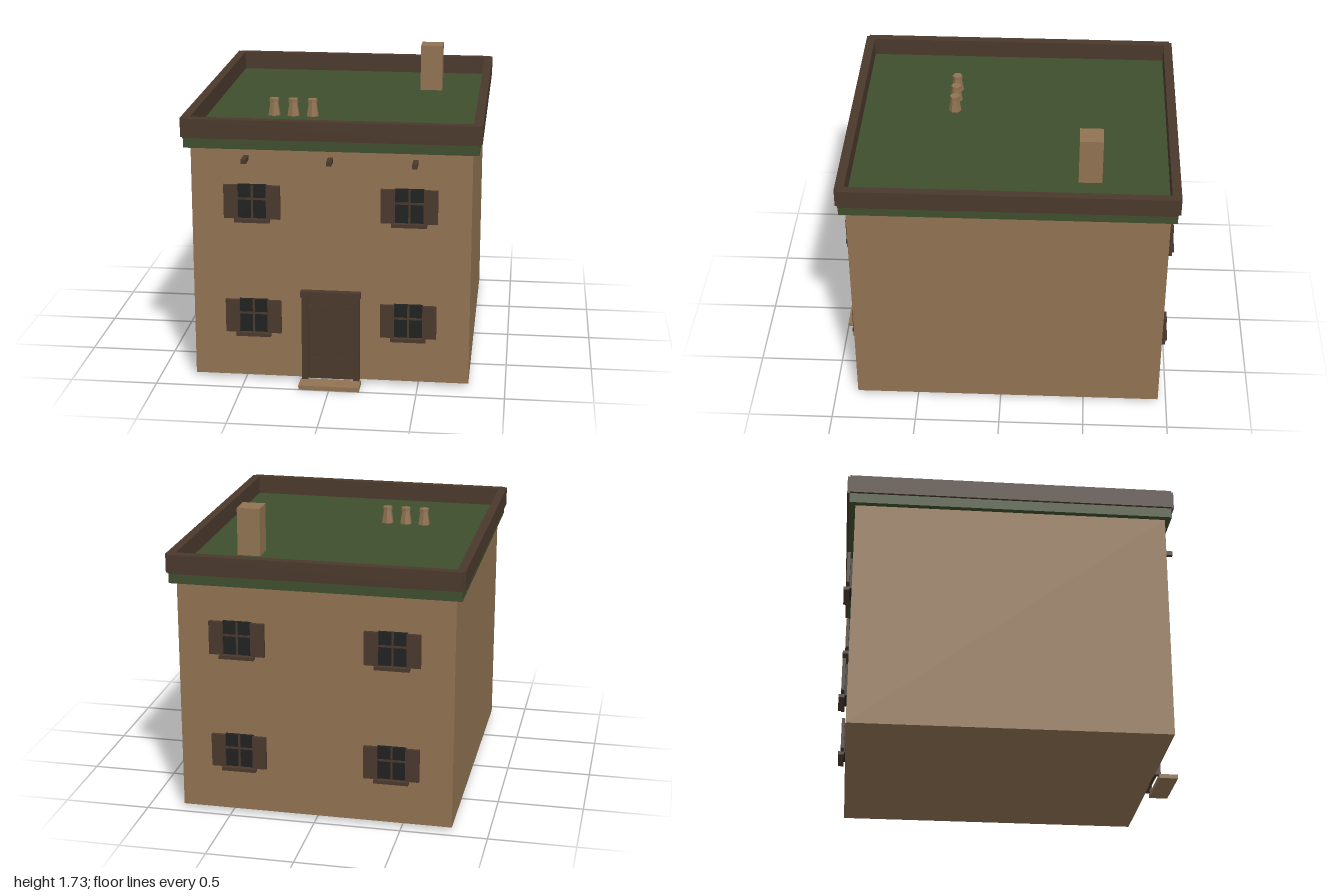
import * as THREE from 'three';

const mat = (name, color) => {
  const m = new THREE.MeshStandardMaterial({ color });
  m.name = name;
  return m;
};

export function createModel() {
  const model = new THREE.Group();
  model.name = 'house';
  const plaster = mat('plaster', 0x917352);
  const wood = mat('darkWood', 0x4a392c);
  const green = mat('roofGreen', 0x3f4e2d);
  const glass = mat('glass', 0x202121);

  // Box given by its extents on each axis
  const box = (parent, name, m, [x0, x1], [y0, y1], [z0, z1]) => {
    const mesh = new THREE.Mesh(new THREE.BoxGeometry(x1 - x0, y1 - y0, z1 - z0), m);
    mesh.position.set((x0 + x1) / 2, (y0 + y1) / 2, (z0 + z1) / 2);
    mesh.name = name;
    parent.add(mesh);
    return mesh;
  };

  const FRONT = 0.865, BACK = -0.95, MID = (FRONT + BACK) / 2;

  // Walls and flat roof
  box(model, 'walls', plaster, [-0.79, 0.79], [0.025, 1.385], [BACK, FRONT]);
  box(model, 'roofSlab', green, [-0.825, 0.825], [1.385, 1.445], [-0.985, 0.9]);

  // Parapet ring with notched outer corners
  const a = 0.84, b = 0.825, c = 0.9575, d = 0.9425;
  const ring = new THREE.Shape([
    [b, -c], [b, -d], [a, -d], [a, d], [b, d], [b, c],
    [-b, c], [-b, d], [-a, d], [-a, -d], [-b, -d], [-b, -c],
  ].map(([x, y]) => new THREE.Vector2(x, y)));
  const hx = 0.79, hz = 0.905;
  ring.holes.push(new THREE.Path([
    new THREE.Vector2(-hx, -hz), new THREE.Vector2(-hx, hz),
    new THREE.Vector2(hx, hz), new THREE.Vector2(hx, -hz),
  ]));
  const parapetGeo = new THREE.ExtrudeGeometry(ring, { depth: 0.11, bevelEnabled: false });
  parapetGeo.rotateX(-Math.PI / 2);
  const parapet = new THREE.Mesh(parapetGeo, wood);
  parapet.position.set(0, 1.445, MID);
  parapet.name = 'parapet';
  model.add(parapet);

  // Chimney and three six-sided chimney pots
  box(model, 'chimney', plaster, [0.408, 0.542], [1.44, 1.725], [-0.567, -0.433]);
  for (const x of [-0.4, -0.287, -0.173]) {
    const pot = new THREE.Group();
    pot.name = 'chimneyPot';
    pot.position.set(x, 1.445, 0.315);
    const part = (name, rTop, rBottom, h, y) => {
      const g = new THREE.CylinderGeometry(rTop, rBottom, h, 6).toNonIndexed();
      g.computeVertexNormals();
      const mesh = new THREE.Mesh(g, plaster);
      mesh.position.y = y + h / 2;
      mesh.name = name;
      pot.add(mesh);
    };
    part('potBody', 0.025, 0.038, 0.08, 0);
    part('potRim', 0.03, 0.03, 0.02, 0.08);
    model.add(pot);
  }

  // Beam ends over the upper windows
  for (const x of [-0.475, 0, 0.475])
    box(model, 'beamEnd', wood, [x - 0.014, x + 0.014], [1.318, 1.344], [0.86, 0.965]);

  // Shuttered window, built on z = 0 facing +z, origin at the bottom of the glass
  const makeWindow = () => {
    const w = new THREE.Group();
    w.name = 'window';
    const h = 0.195;
    box(w, 'glass', glass, [-0.082, 0.082], [0, h], [-0.005, 0.02]);
    box(w, 'uprightBar', wood, [-0.006, 0.006], [0, h], [0.015, 0.024]);
    for (const s of [-1, 1])
      box(w, 'crossBar', wood, [s < 0 ? -0.08 : 0.006, s < 0 ? -0.006 : 0.08], [0.108, 0.12], [0.015, 0.024]);
    box(w, 'leftShutter', wood, [0.08, 0.16], [0, h], [0.016, 0.035]);
    box(w, 'rightShutter', wood, [-0.16, -0.08], [0, h], [0.016, 0.035]);
    box(w, 'sill', wood, [-0.1, 0.1], [-0.02, 0], [0.015, 0.05]);
    return w;
  };
  for (const y of [0.3, 0.982])
    for (const x of [-0.443, 0.443])
      for (const front of [true, false]) {
        const w = makeWindow();
        w.position.set(x, y, front ? FRONT : BACK);
        if (!front) w.rotation.y = Math.PI;
        model.add(w);
      }

  // Door with frame, ledges and step
  const door = new THREE.Group();
  door.name = 'door';
  box(door, 'doorPanel', wood, [-0.132, 0.132], [0.025, 0.526], [0.86, 0.88]);
  for (const y of [0.14, 0.46])
    box(door, 'doorLedge', wood, [-0.13, 0.13], [y, y + 0.012], [0.878, 0.883]);
  for (const s of [-1, 1])
    box(door, 'doorJamb', wood, [s * 0.148 - 0.018, s * 0.148 + 0.018], [0.025, 0.526], [0.86, 0.9]);
  box(door, 'lintel', wood, [-0.172, 0.172], [0.526, 0.56], [0.86, 0.905]);
  model.add(door);
  box(model, 'doorStep', plaster, [-0.174, 0.174], [0, 0.025], [0.89, 1]);

  return model;
}
